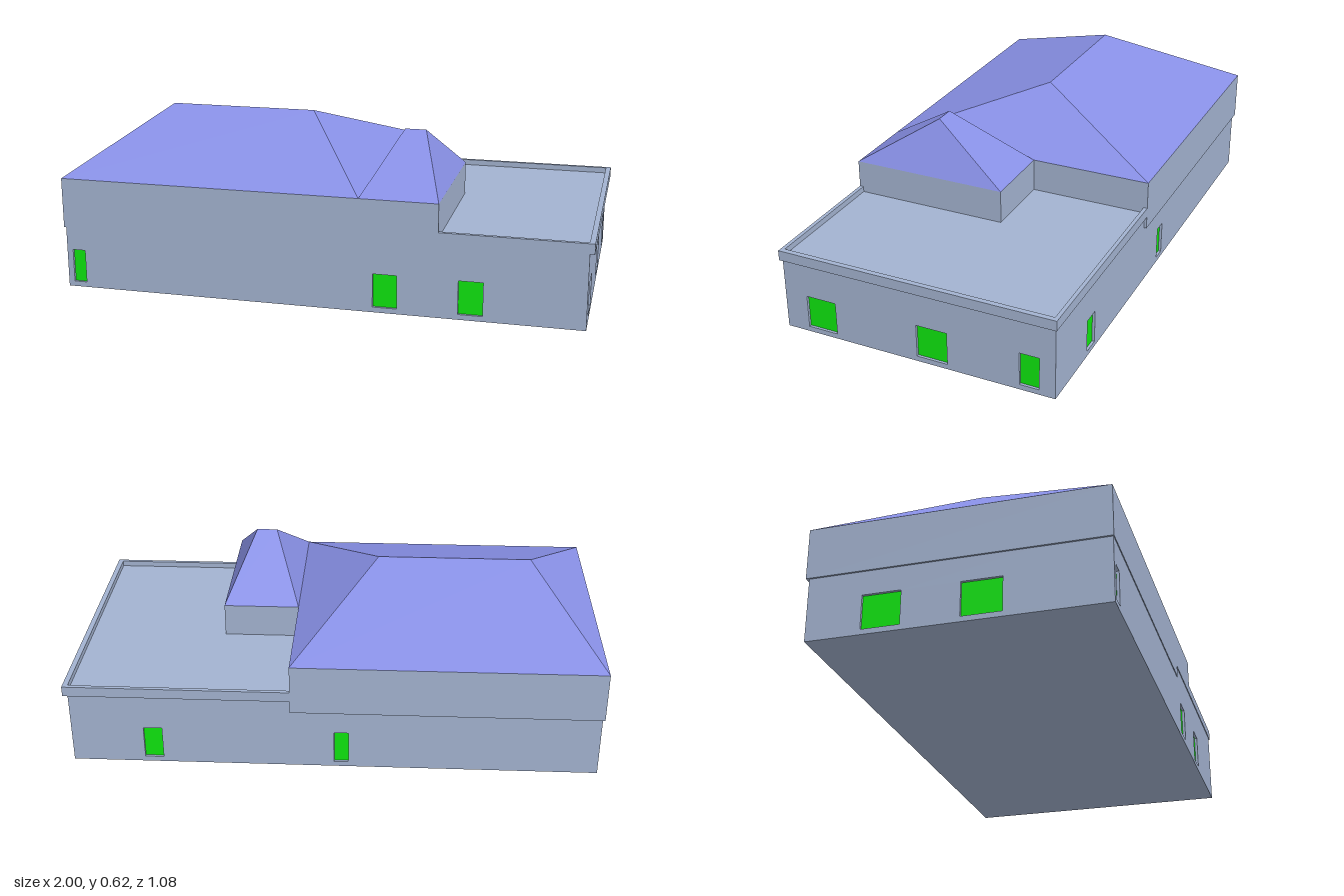
import * as THREE from 'three';

const wallMat = new THREE.MeshStandardMaterial({ color: 0xa3b3d0 });
const roofMat = new THREE.MeshStandardMaterial({ color: 0x8890e6 });
const glassMat = new THREE.MeshStandardMaterial({ color: 0x0fe60f });

// Ground floor extents, window band and reveal depth
const X0 = -0.993, X1 = 0.983, Z0 = -0.53, Z1 = 0.537, H = 0.285;
const SILL = 0.02, HEAD = 0.148, REVEAL = 0.012;

function add(parent, name, geometry, material) {
  const mesh = new THREE.Mesh(geometry, material);
  mesh.name = name;
  parent.add(mesh);
  return mesh;
}

// Box given by its minimum and maximum corners
function block(parent, name, [x0, y0, z0], [x1, y1, z1]) {
  const mesh = add(parent, name, new THREE.BoxGeometry(x1 - x0, y1 - y0, z1 - z0), wallMat);
  mesh.position.set((x0 + x1) / 2, (y0 + y1) / 2, (z0 + z1) / 2);
}

function rect(PathType, a, b, c, d) {
  return new PathType([[a, b], [c, b], [c, d], [a, d]].map(([x, y]) => new THREE.Vector2(x, y)));
}

// Wall panel facing local +z with window openings and recessed panes
function windowWall(parent, name, angle, dist, u0, u1, windows) {
  const wall = new THREE.Group();
  wall.name = name;
  wall.rotation.y = angle;
  const shape = rect(THREE.Shape, u0, 0, u1, H);
  for (const [a, b] of windows) {
    shape.holes.push(rect(THREE.Path, a, SILL, b, HEAD));
    const pane = add(wall, 'windowPane', new THREE.PlaneGeometry(b - a, HEAD - SILL), glassMat);
    pane.position.set((a + b) / 2, (SILL + HEAD) / 2, dist - REVEAL + 0.002);
  }
  const panel = add(wall, 'wallPanel',
    new THREE.ExtrudeGeometry(shape, { depth: REVEAL, bevelEnabled: false }), wallMat);
  panel.position.z = dist - REVEAL;
  parent.add(wall);
}

// Hip roof over a rectangle, with its ridge running along x
function hipRoof(parent, name, x0, x1, z0, z1, r0, r1, base, top) {
  const zr = (z0 + z1) / 2;
  const a = [x0, base, z1], b = [x1, base, z1], c = [x1, base, z0], d = [x0, base, z0];
  const p = [r0, top, zr], q = [r1, top, zr];
  const faces = [a, b, q, a, q, p, b, c, q, c, d, p, c, p, q, d, a, p, a, d, c, a, c, b];
  const geometry = new THREE.BufferGeometry();
  geometry.setAttribute('position', new THREE.Float32BufferAttribute(faces.flat(), 3));
  geometry.computeVertexNormals();
  add(parent, name, geometry, roofMat);
}

export function createModel() {
  const house = new THREE.Group();
  house.name = 'house';

  // Ground floor: core behind four panels with windows
  block(house, 'groundFloorCore', [X0 + REVEAL, 0, Z0 + REVEAL], [X1 - REVEAL, H, Z1 - REVEAL]);
  windowWall(house, 'frontWall', 0, Z1, X0, X1, [[-0.97, -0.92], [0.21, 0.3], [0.525, 0.615]]);
  windowWall(house, 'backWall', Math.PI, -Z0, -X1, -X0, [[-0.71, -0.64], [0.007, 0.06]]);
  windowWall(house, 'flatRoofEndWall', Math.PI / 2, X1, -Z1, -Z0,
    [[-0.447, -0.328], [0, 0.12], [0.396, 0.47]]);
  windowWall(house, 'hipRoofEndWall', -Math.PI / 2, -X0, Z0, Z1, [[-0.33, -0.19], [0.02, 0.165]]);

  // Overhanging upper storey and the smaller block beside it
  block(house, 'upperStorey', [-1, 0.238, -0.54], [0.157, 0.43, 0.54]);
  block(house, 'sideBlock', [0.157, 0.29, -0.07], [0.45, 0.43, 0.54]);
  hipRoof(house, 'mainRoof', -1, 0.157, -0.54, 0.54, -0.745, -0.155, 0.43, 0.625);
  hipRoof(house, 'sideRoof', 0.157, 0.45, -0.07, 0.54, 0.265, 0.345, 0.43, 0.625);

  // Flat roof inside a raised parapet on three sides
  block(house, 'flatRoof', [0.157, H, -0.525], [0.98, 0.302, 0.525]);
  block(house, 'parapetEnd', [0.98, H, -0.54], [1, 0.324, 0.54]);
  for (const s of [-1, 1]) {
    const [z0, z1] = s < 0 ? [-0.54, -0.525] : [0.525, 0.54];
    block(house, s < 0 ? 'parapetBack' : 'parapetFront', [0.157, H, z0], [0.98, 0.324, z1]);
  }
  return house;
}
